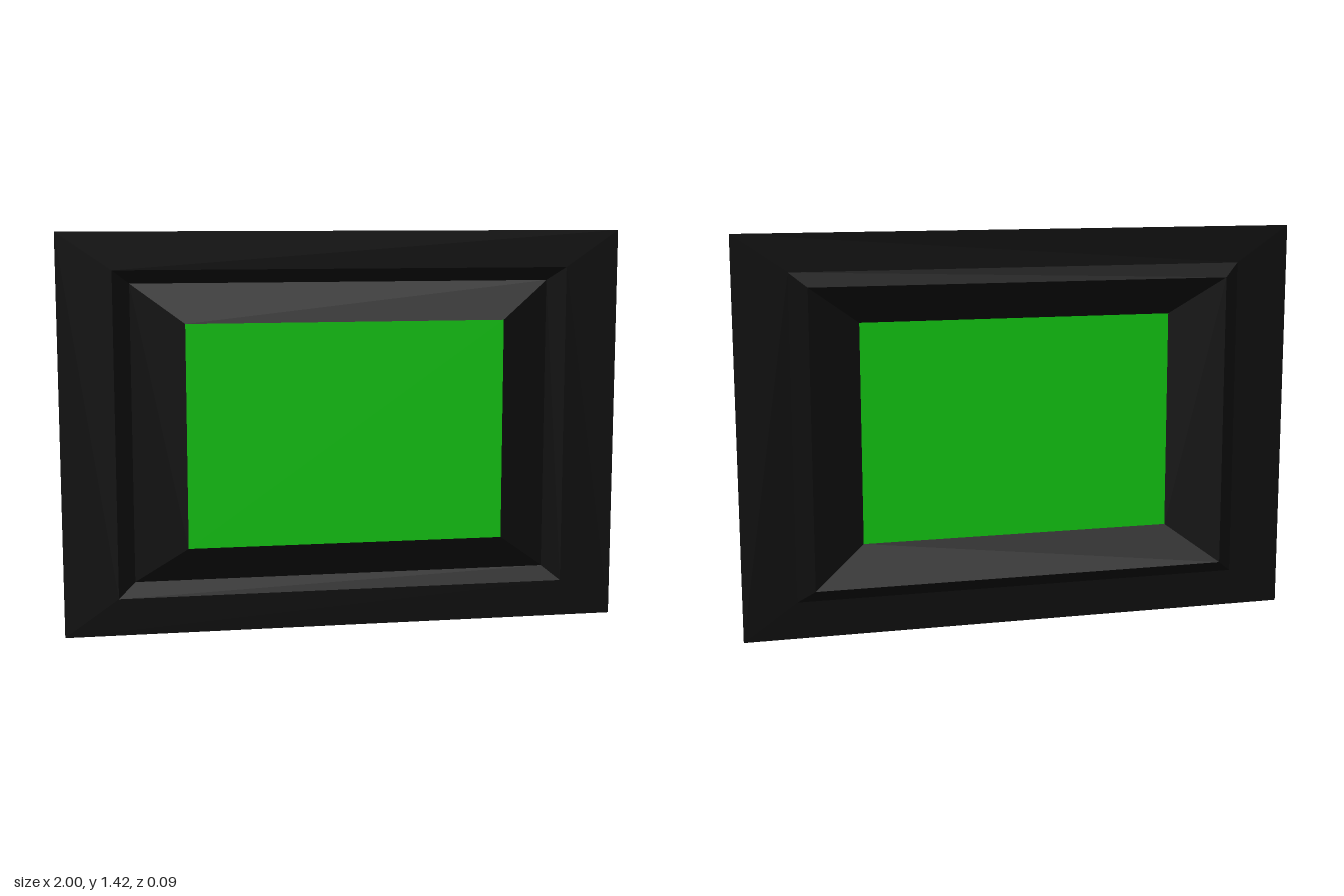
import * as THREE from 'three';

const CENTRE_Y = 0.71;

// Rectangular outlines of the pressed sheet, from the rim inwards: half width, half height, depth
const rim = [1, 0.71, 0];
const grooveEdge = [0.81, 0.578, 0];
const grooveBottom = [0.75, 0.53, -0.047];
const screenEdge = [0.565, 0.395, 0.047];

const corners = ([w, h, z]) => [[-w, -h, z], [w, -h, z], [w, h, z], [-w, h, z]];

// Four flat trapezoids joining an outer outline to an inner one
function band(outer, inner) {
  const a = corners(outer), b = corners(inner), points = [];
  for (let i = 0; i < 4; i++) {
    const j = (i + 1) % 4;
    points.push(a[i], a[j], b[j], a[i], b[j], b[i]);
  }
  const geometry = new THREE.BufferGeometry();
  geometry.setAttribute('position', new THREE.Float32BufferAttribute(points.flat(), 3));
  geometry.computeVertexNormals();
  return geometry;
}

export function createModel() {
  const group = new THREE.Group();
  group.name = 'framedScreen';
  const black = new THREE.MeshStandardMaterial({ color: 0x0c0c0c, side: THREE.DoubleSide, flatShading: true });
  const green = new THREE.MeshStandardMaterial({ color: 0x0fb80f, side: THREE.DoubleSide, flatShading: true });

  const add = (name, geometry, material) => {
    const mesh = new THREE.Mesh(geometry, material);
    mesh.name = name;
    mesh.position.y = CENTRE_Y;
    group.add(mesh);
    return mesh;
  };

  // Flat surround, groove wall and bevel rising to the screen
  add('surround', band(rim, grooveEdge), black);
  add('grooveWall', band(grooveEdge, grooveBottom), black);
  add('screenBevel', band(grooveBottom, screenEdge), black);

  // Green panel closing the raised centre
  const [w, h, z] = screenEdge;
  add('screen', new THREE.PlaneGeometry(2 * w, 2 * h), green).position.z = z;

  return group;
}
